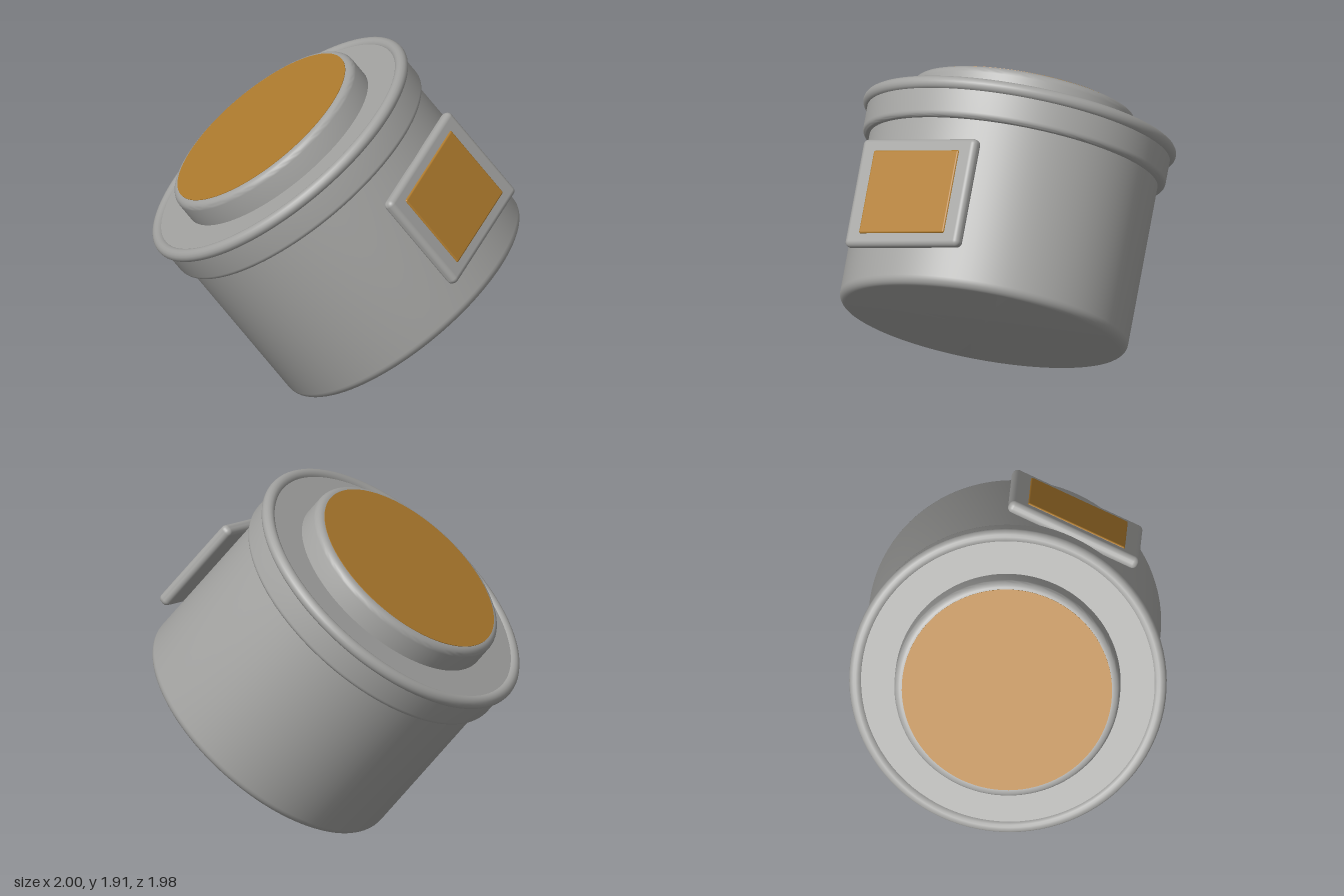
import * as THREE from 'three';
import { toCreasedNormals } from 'three/addons/utils/BufferGeometryUtils.js';
import { RoundedBoxGeometry } from 'three/addons/geometries/RoundedBoxGeometry.js';

const SEGMENTS = 96;

// Quarter-round profile points about (r, y), from angle a to a + 90 degrees
function fillet(r, y, radius, a, steps = 6) {
  return Array.from({ length: steps + 1 }, (_, i) => {
    const t = a + (i / steps) * Math.PI / 2;
    return [r + radius * Math.cos(t), y + radius * Math.sin(t)];
  });
}

export function createModel() {
  const grey = new THREE.MeshStandardMaterial({ color: 0xa4a4a2 });
  grey.name = 'grey shell';
  const amber = new THREE.MeshStandardMaterial({ color: 0xb07c2e });
  amber.name = 'amber panel';

  const pot = new THREE.Group();
  pot.name = 'tiltedPot';
  const add = (name, geometry, material, x = 0, y = 0, z = 0) => {
    const mesh = new THREE.Mesh(geometry, material);
    mesh.name = name;
    mesh.position.set(x, y, z);
    pot.add(mesh);
    return mesh;
  };
  const turned = (profile) => toCreasedNormals(
    new THREE.LatheGeometry(profile.map(([r, y]) => new THREE.Vector2(r, y)), SEGMENTS), 0.6);

  // Cylindrical body with a rounded bottom edge
  add('body', turned([[0, 0], ...fillet(0.75, 0.05, 0.05, -Math.PI / 2), [0.8, 1]]), grey);

  // Collar under the rim, closed on top by the flat lid plate
  add('collar', turned([[0.78, 0.95], ...fillet(0.81, 0.98, 0.03, -Math.PI / 2), [0.84, 1.142]]), grey);
  add('lidPlate', turned([[0.82, 1.16], [0, 1.16]]), grey);

  // Rounded rim
  const rim = add('rim', new THREE.TorusGeometry(0.832, 0.036, 16, SEGMENTS), grey, 0, 1.14, 0);
  rim.rotation.x = Math.PI / 2;

  // Raised cap with an inlaid disc
  add('cap', turned([[0.617, 1.15], ...fillet(0.577, 1.27, 0.04, 0), [0, 1.31]]), grey);
  add('capDisc', new THREE.CylinderGeometry(0.575, 0.575, 0.006, SEGMENTS), amber, 0, 1.31, 0);

  // Flat display frame and its raised panel on the side wall
  add('displayFrame', new RoundedBoxGeometry(0.78, 0.615, 0.07, 5, 0.03), grey, 0, 0.51, 0.807);
  add('displayPanel', new RoundedBoxGeometry(0.585, 0.473, 0.03, 4, 0.01), amber, 0, 0.51, 0.835);

  // Tilt: local y is the turning axis, local z points out through the display
  const up = new THREE.Vector3(-0.485, 0.792, -0.37).normalize();
  const out = new THREE.Vector3(0.346, 0.561, 0.751);
  out.addScaledVector(up, -out.dot(up)).normalize();
  const side = new THREE.Vector3().crossVectors(up, out);
  pot.quaternion.setFromRotationMatrix(new THREE.Matrix4().makeBasis(side, up, out));
  pot.position.set(0.317, 0.468, 0.243);

  const model = new THREE.Group();
  model.name = 'model';
  model.add(pot);
  return model;
}
